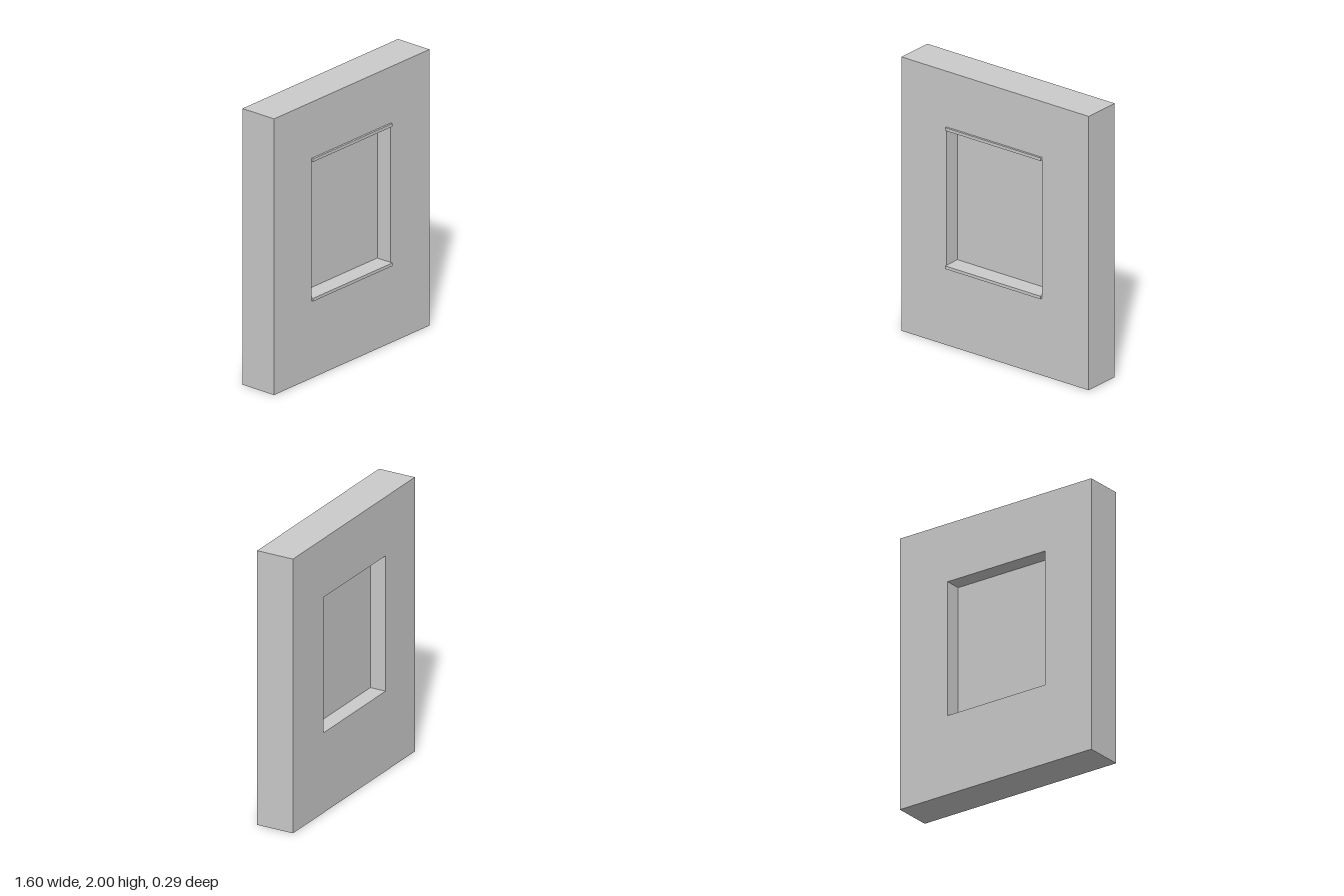
import * as THREE from 'three';

const material = new THREE.MeshStandardMaterial({ color: 0xcccccc, flatShading: true });

// Wall faces and opening limits
const BACK = -0.147, FRONT = 0.132, LEDGE_FRONT = 0.147;
const X0 = -0.415, X1 = 0.4, Y0 = 0.583, Y1 = 1.571;

function box(name, x0, x1, y0, y1, z0, z1) {
  const mesh = new THREE.Mesh(new THREE.BoxGeometry(x1 - x0, y1 - y0, z1 - z0), material);
  mesh.position.set((x0 + x1) / 2, (y0 + y1) / 2, (z0 + z1) / 2);
  mesh.name = name;
  return mesh;
}

function rectangle(PathType, x0, x1, y0, y1) {
  return new PathType([[x0, y0], [x1, y0], [x1, y1], [x0, y1]].map(([x, y]) => new THREE.Vector2(x, y)));
}

export function createModel() {
  const group = new THREE.Group();
  group.name = 'wallWithWindow';

  // Wall slab with a rectangular opening
  const outline = rectangle(THREE.Shape, -0.8, 0.8, 0, 2);
  outline.holes.push(rectangle(THREE.Path, X0, X1, Y0, Y1));
  const wall = new THREE.Mesh(
    new THREE.ExtrudeGeometry(outline, { depth: FRONT - BACK, bevelEnabled: false }), material);
  wall.position.z = BACK;
  wall.name = 'wall';
  group.add(wall);

  // Pane set midway in the opening, recessed from both faces
  group.add(box('windowPane', X0, X1, Y0, Y1, -0.029, 0.014));

  // Thin ledges on the front, below and above the opening
  group.add(box('lowerLedge', X0, X1, Y0 - 0.022, Y0, FRONT, LEDGE_FRONT));
  group.add(box('upperLedge', X0, X1, Y1, Y1 + 0.022, FRONT, LEDGE_FRONT));

  return group;
}
